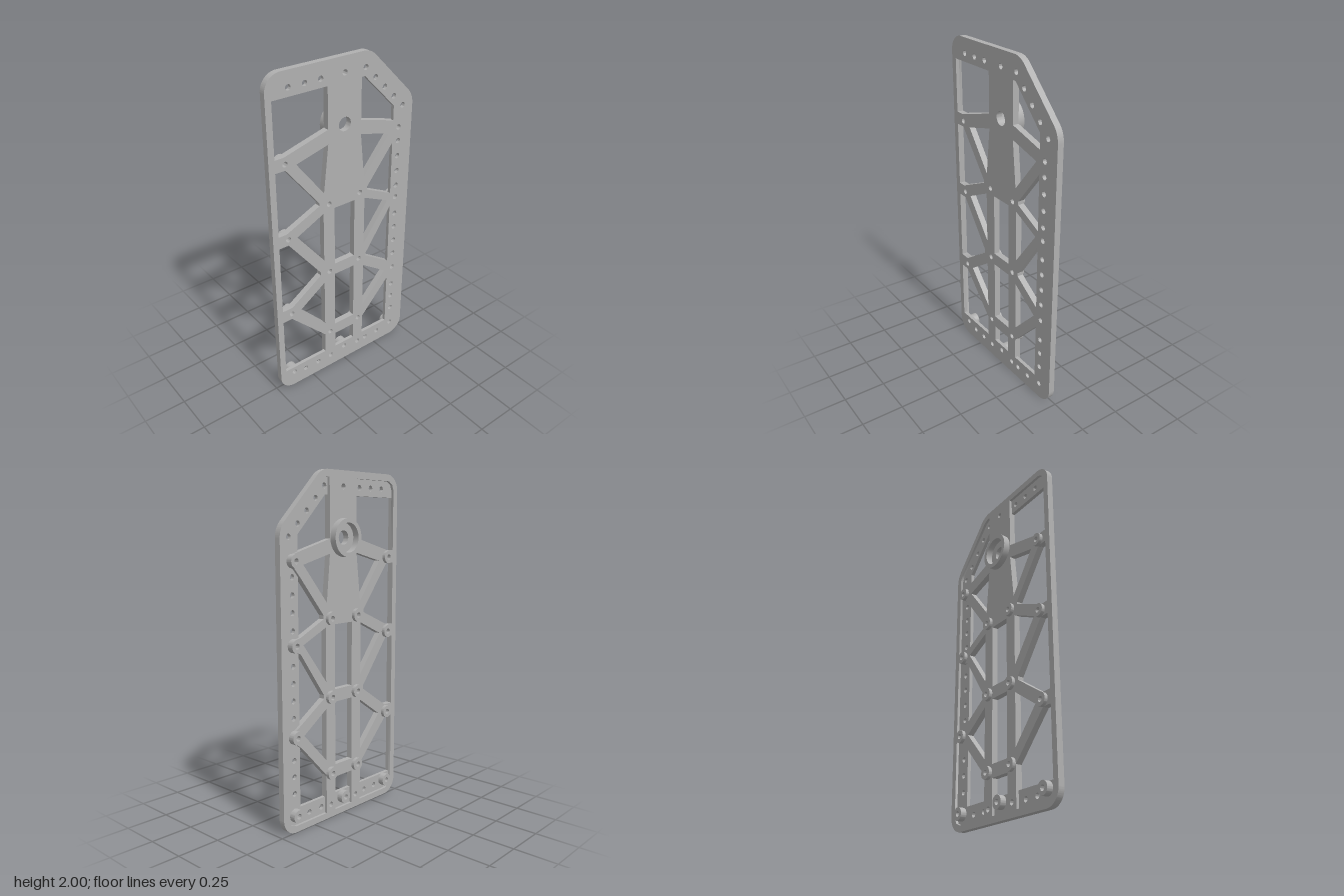
import * as THREE from 'three';
import { toCreasedNormals } from 'three/addons/utils/BufferGeometryUtils.js';

// Plan units: 189 per model unit, x = 238 on the centre line, y measured down to 413 at the base.
const S = 189;
const pt = ([x, y]) => new THREE.Vector2((x - 238) / S, (413 - y) / S);
const poly = (pts) => new THREE.Path(pts.map(pt));
const rect = (x0, y0, x1, y1) => poly([[x0, y0], [x1, y0], [x1, y1], [x0, y1]]);
const circle = ([x, y], r, Type = THREE.Path) => {
  const c = pt([x, y]);
  const p = new Type();
  p.absarc(c.x, c.y, r, 0, Math.PI * 2, false);
  return p;
};

const FRONT = 0.037, FLOOR = 0.016, HOLE = 0.016;

// Rounded outline with one cut-off upper corner
function outline() {
  const s = new THREE.Shape();
  const to = (x, y) => { const p = pt([x, y]); s.lineTo(p.x, p.y); };
  const bend = (a, b) => { const p = pt(a), q = pt(b); s.quadraticCurveTo(p.x, p.y, q.x, q.y); };
  const corner = (cx, cy, a) => { const p = pt([cx, cy]); s.absarc(p.x, p.y, 18 / S, a, a + Math.PI / 2, false); };
  corner(164.5, 395, Math.PI);
  corner(311.5, 395, Math.PI * 1.5);
  to(329.5, 105);
  bend([329.5, 94.5], [322, 87]);
  to(278.5, 43.5);
  bend([271, 35], [261, 35]);
  corner(164.5, 53, Math.PI / 2);
  s.closePath();
  return s;
}

// Openings that pass straight through both layers
const throughWindows = () => [
  poly([[178, 131], [217, 121], [211, 174]]),
  poly([[259, 121], [298, 131], [264, 172]]),
  poly([[153.5, 133.5], [165, 133.5], [205, 184], [205, 187], [163, 205.5], [153.5, 205.5]]),
  poly([[176, 214], [210, 198], [210, 257]]),
  poly([[153.5, 219.5], [165, 219.5], [205, 271], [205, 275], [166, 301], [153.5, 301]]),
  poly([[177, 309.5], [210, 287], [210, 345]]),
  poly([[265.5, 198], [299, 213], [265.5, 257]]),
  poly([[265.5, 287], [299, 309.5], [265.5, 345]]),
  rect(224.5, 196, 251.5, 267.5),
  rect(224.5, 281.5, 251.5, 353),
];

// Openings next to the perforated border, as cut in the thin front skin
const skinWindows = () => [
  poly([[153.5, 60.5], [217, 60.5], [217, 105], [163.5, 119.5], [153.5, 119.5]]),
  poly([[259, 60.5], [263, 60.5], [303, 101], [303, 117.5], [259, 105.5]]),
  poly([[153.5, 316], [165, 316], [210, 362], [210, 387.5], [153.5, 387.5]]),
  poly([[303, 143], [303, 205], [269, 189], [269, 185]]),
  poly([[303, 222], [303, 297], [269, 275], [269, 271]]),
  poly([[303, 322], [303, 387.5], [265.5, 387.5], [265.5, 362]]),
  rect(224.5, 367.5, 251.5, 387.5),
];

// The same openings widened to the rim in the rear layer
const rearPockets = () => [
  poly([[153.5, 52], [156, 46], [162, 42.5], [217, 42.5], [217, 105], [163.5, 119.5], [153.5, 119.5]]),
  poly([[153.5, 316], [165, 316], [210, 362], [210, 406], [164, 406], [157, 403], [153.5, 396]]),
  rect(224.5, 367.5, 251.5, 406),
  poly([
    [259, 42.5], [264, 42.5], [270, 45], [319.5, 94.5], [322.5, 102],
    [322.5, 396], [319, 403], [312, 406], [265.5, 406], [265.5, 362],
    [303, 322], [311, 316], [317, 309], [311, 302], [303, 297],
    [269, 275], [269, 271],
    [303, 222], [311, 219], [317, 212.5], [311, 207], [303, 205],
    [269, 189], [269, 185],
    [303, 143], [311, 134], [317, 127], [311, 120], [303, 117.5], [259, 105.5],
  ]),
];

// Hole positions
const strutBosses = [
  ...[127, 212.5, 309].flatMap((y) => [[165, y], [311, y]]),
  ...[189, 275, 361].flatMap((y) => [[217.3, y], [258.7, y]]),
];
const floorBosses = [[165, 394.5], [238, 394.5], [311, 394.5]];
const thickHoles = [[238, 51.5], [217.5, 398], [258.5, 398]];
const borderHoles = [
  ...[172, 190.5, 209].map((x) => [x, 51.5]),
  ...[0, 1, 2, 3, 4].map((i) => [264 + 12.8 * i, 51.5 + 12.9 * i]),
  ...[143, 161, 179, 197.5, 234, 252, 270.5, 289, 334.5, 352.5, 371].map((y) => [311, y]),
  ...[181, 199, 271, 289.5].map((x) => [x, 398]),
];
const hub = [238, 104.5];

export function createModel() {
  const group = new THREE.Group();
  const grey = new THREE.MeshStandardMaterial({ color: 0xb0b0b0 });
  grey.name = 'grey metal';

  const extrude = (name, shape, holes, z0, z1) => {
    shape.holes.push(...holes);
    const g = new THREE.ExtrudeGeometry(shape, { depth: z1 - z0, bevelEnabled: false, curveSegments: 20 });
    g.translate(0, 0, z0);
    const mesh = new THREE.Mesh(toCreasedNormals(g, 0.6), grey);
    mesh.name = name;
    group.add(mesh);
  };
  const bores = (list) => list.map((p) => circle(p, HOLE));

  // Thin front skin with every perforation
  extrude('frontSkin', outline(), [
    ...throughWindows(), ...skinWindows(), circle(hub, 0.04),
    ...bores([...strutBosses, ...floorBosses, ...thickHoles, ...borderHoles]),
  ], FLOOR, FRONT);

  // Rear layer: rim, struts and centre column
  extrude('rearFrame', outline(), [
    ...throughWindows(), ...rearPockets(), circle(hub, 0.04),
    ...bores([...strutBosses, ...thickHoles]),
  ], 0, FLOOR);

  // Standoff bosses on the back
  [...strutBosses, ...floorBosses].forEach((p) =>
    extrude('boss', circle(p, 0.038, THREE.Shape), [circle(p, HOLE)], -0.02, FLOOR));

  // Raised bearing ring around the large hole
  extrude('bearingRing', circle(hub, 0.108, THREE.Shape), [circle(hub, 0.083)], -0.04, 0);

  return group;
}
